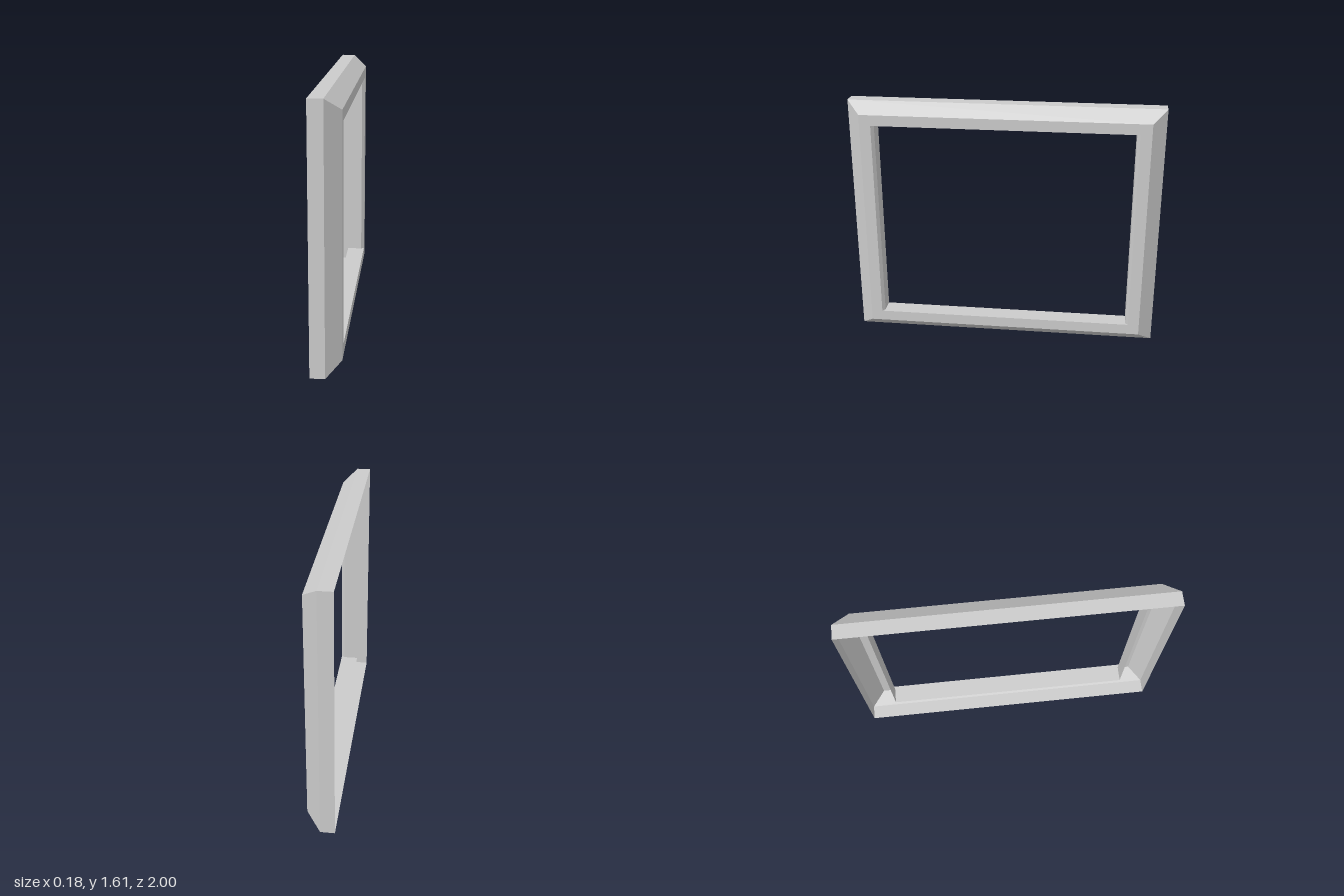
import * as THREE from 'three';

const material = new THREE.MeshStandardMaterial({
  color: 0xcccccc, flatShading: true, side: THREE.DoubleSide,
});

// Rectangular loop in the zy plane at depth x
const loop = ([x, halfZ, y0, y1]) => [
  [x, y0, halfZ], [x, y1, halfZ], [x, y1, -halfZ], [x, y0, -halfZ],
];

// Open sheet of four quads joining two rectangular loops
function band(name, from, to) {
  const a = loop(from), b = loop(to), positions = [];
  for (let i = 0; i < 4; i++) {
    const j = (i + 1) % 4;
    positions.push(...a[i], ...b[i], ...b[j], ...a[i], ...b[j], ...a[j]);
  }
  const geometry = new THREE.BufferGeometry();
  geometry.setAttribute('position', new THREE.Float32BufferAttribute(positions, 3));
  geometry.computeVertexNormals();
  const mesh = new THREE.Mesh(geometry, material);
  mesh.name = name;
  return mesh;
}

export function createModel() {
  const group = new THREE.Group();
  group.name = 'windowFrame';

  // Frame section from the open back edge, over the face, into the opening: [x, half z, bottom, top]
  const section = [
    [-0.09, 1, 0, 1.607],
    [0, 1, 0, 1.607],
    [0.09, 0.91, 0.077, 1.535],
    [0.09, 0.838, 0.146, 1.466],
    [0.07, 0.82, 0.146, 1.466],
    [-0.03, 0.82, 0.146, 1.466],
  ];
  const names = ['outerWall', 'bevel', 'faceBorder', 'innerChamfer', 'innerReturn'];
  names.forEach((name, i) => group.add(band(name, section[i], section[i + 1])));
  return group;
}
